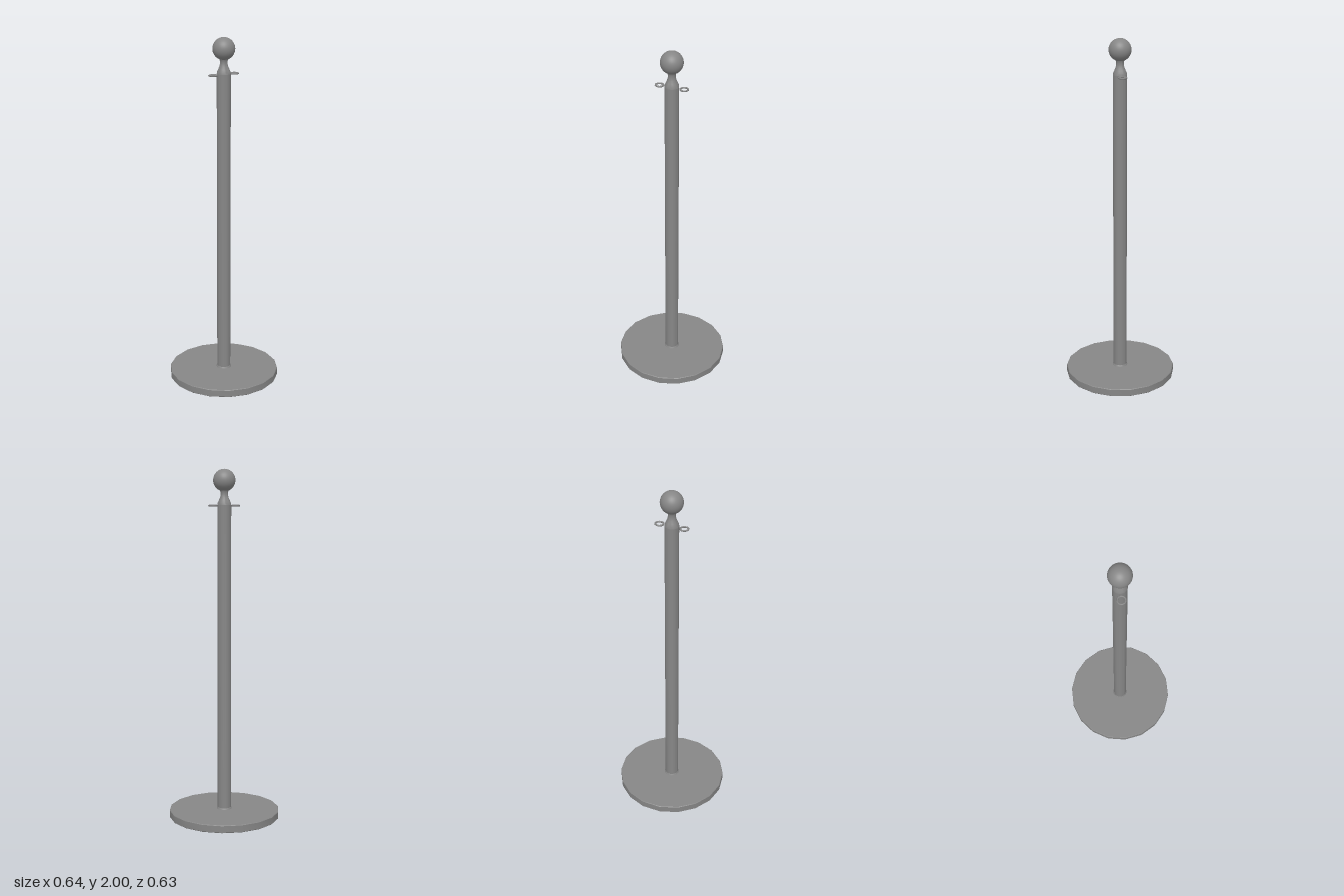
import * as THREE from 'three';
import { toCreasedNormals } from 'three/addons/utils/BufferGeometryUtils.js';

export function createModel() {
  const model = new THREE.Group();
  const metal = new THREE.MeshStandardMaterial({ color: 0x868686 });
  metal.name = 'grey metal';

  const add = (name, geometry) => {
    const mesh = new THREE.Mesh(geometry, metal);
    mesh.name = name;
    model.add(mesh);
    return mesh;
  };

  // Turned part from [radius, height] pairs, with crisp rims
  const turned = (profile, sides) => toCreasedNormals(
    new THREE.LatheGeometry(profile.map(([r, y]) => new THREE.Vector2(r, y)), sides, Math.PI / 2),
    Math.PI / 6);

  // Weighted disc base with a fine bevel on both rims
  add('base', turned([
    [0, 0], [0.317, 0], [0.32, 0.003], [0.32, 0.041], [0.317, 0.044], [0, 0.044],
  ], 18));

  // Post with a small foot flare
  add('post', turned([
    [0.044, 0.043], [0.042, 0.049], [0.039, 0.053], [0.039, 1.8],
  ], 24));

  // Neck narrowing from the post up to the ball
  add('neck', turned([
    [0.039, 1.8], [0.037, 1.812], [0.031, 1.826], [0.024, 1.842],
    [0.021, 1.855], [0.021, 1.87], [0.025, 1.884], [0.029, 1.89],
  ], 24));

  // Ball finial
  add('ball', new THREE.SphereGeometry(0.0625, 32, 20)).position.y = 1.9375;

  // Flat rope rings on both sides of the post
  for (const side of [-1, 1]) {
    const ring = add(side > 0 ? 'leftRopeRing' : 'rightRopeRing',
      new THREE.TorusGeometry(0.0222, 0.0048, 8, 10));
    ring.rotation.x = Math.PI / 2;
    ring.position.set(side * 0.071, 1.797, 0);
  }

  return model;
}
